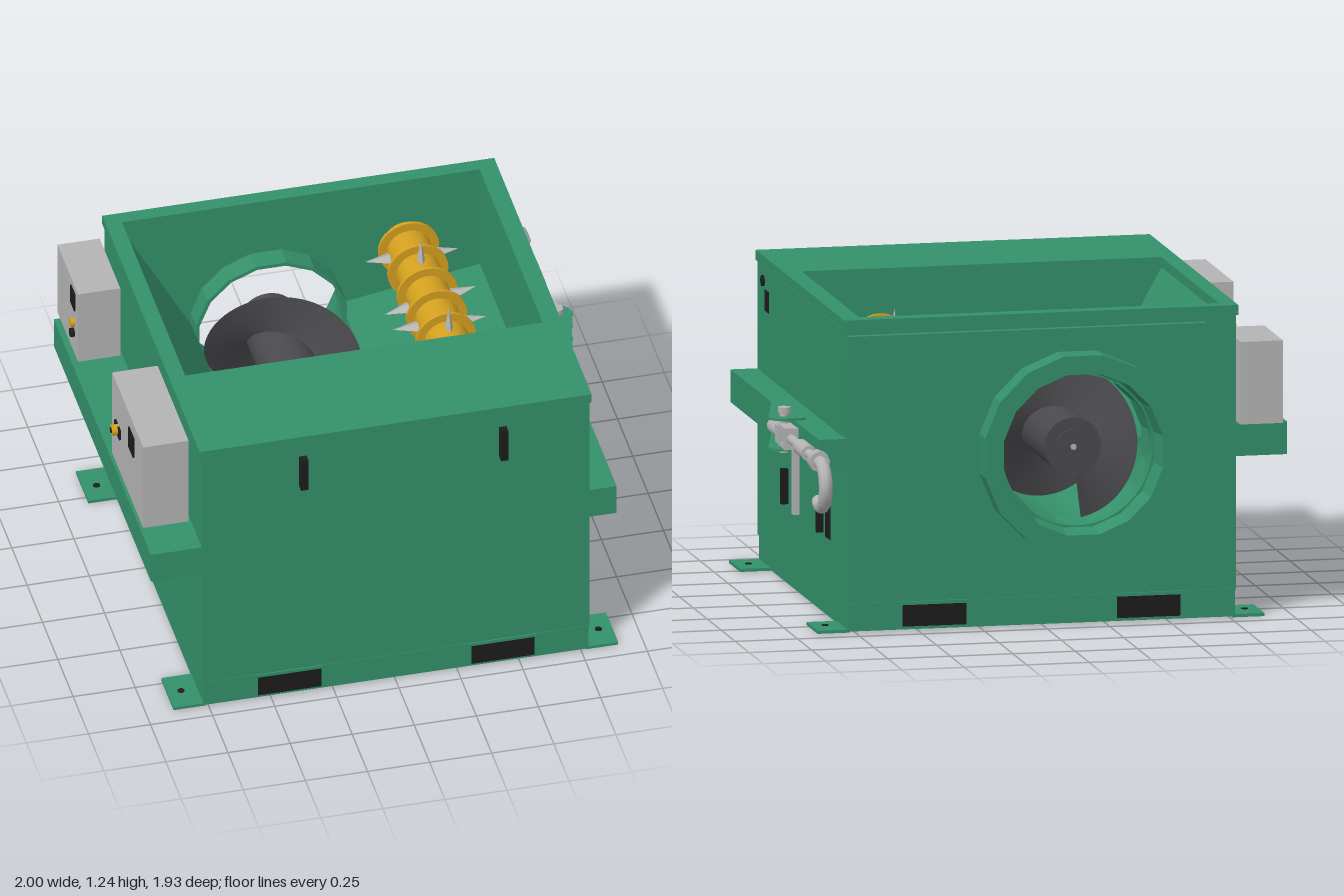
import * as THREE from 'three';

const mat = (name, color, side = THREE.FrontSide) => {
  const m = new THREE.MeshStandardMaterial({ color, side });
  m.name = name;
  return m;
};

export function createModel() {
  const model = new THREE.Group();
  const green = mat('machine green', 0x34906a);
  const grey = mat('light grey steel', 0xb4b4b4);
  const dark = mat('dark auger steel', 0x4a4a4e, THREE.DoubleSide);
  const gold = mat('gold', 0xd4a01e);
  const black = mat('black', 0x1c1c1c);

  const add = (name, geo, m, x = 0, y = 0, z = 0, parent = model) => {
    const mesh = new THREE.Mesh(geo, m);
    mesh.name = name;
    mesh.position.set(x, y, z);
    parent.add(mesh);
    return mesh;
  };
  // box given by its extents on each axis
  const box = (name, m, x0, x1, y0, y1, z0, z1, parent = model) =>
    add(name, new THREE.BoxGeometry(x1 - x0, y1 - y0, z1 - z0), m,
      (x0 + x1) / 2, (y0 + y1) / 2, (z0 + z1) / 2, parent);
  // cylinder along z, y or x
  const rod = (name, m, r, len, axis, x, y, z, sides = 20, parent = model) => {
    const g = new THREE.CylinderGeometry(r, r, len, sides);
    if (axis === 'z') g.rotateX(Math.PI / 2);
    if (axis === 'x') g.rotateZ(Math.PI / 2);
    return add(name, g, m, x, y, z, parent);
  };
  const extrude = (shape, depth) =>
    new THREE.ExtrudeGeometry(shape, { depth, bevelEnabled: false, curveSegments: 28 });

  const AX = -0.14, AY = 0.69; // auger axis

  // Hopper: block with a sloped, round-bottomed trough
  const trough = new THREE.Shape();
  trough.moveTo(-0.775, 0.11);
  trough.lineTo(0.785, 0.11);
  trough.lineTo(0.785, 1.24);
  trough.lineTo(0.72, 1.24);
  trough.lineTo(0.72, 0.78);
  trough.lineTo(AX + 0.3, AY);
  trough.absarc(AX, AY, 0.3, 0, -Math.PI, true);
  trough.lineTo(-0.72, 1.2);
  trough.lineTo(-0.72, 1.24);
  trough.lineTo(-0.775, 1.24);
  add('hopper', extrude(trough, 1.03), green, 0, 0, -0.6);
  box('motorHousing', green, -0.775, 0.785, 0.11, 1.24, 0.43, 0.93);

  // Back wall with the outlet opening
  const wall = new THREE.Shape([[-0.775, 0.11], [0.785, 0.11], [0.785, 1.24], [-0.775, 1.24]]
    .map(p => new THREE.Vector2(...p)));
  wall.holes.push(new THREE.Path().absarc(AX, AY, 0.3, 0, Math.PI * 2, true));
  add('backWall', extrude(wall, 0.06), green, 0, 0, -0.66);

  // Faceted outlet pipe
  const pipe = [[0.295, 0.51], [0.31, 0.51], [0.31, 0.66], [0.4, 0.66], [0.4, 0.77], [0.325, 0.77], [0.295, 0.51]];
  let pipeGeo = new THREE.LatheGeometry(pipe.map(p => new THREE.Vector2(...p)), 16, Math.PI / 16);
  pipeGeo = pipeGeo.toNonIndexed();
  pipeGeo.computeVertexNormals();
  add('outletPipe', pipeGeo, green, AX, AY, 0).rotation.x = -Math.PI / 2;

  // Rims, rear bar, side beams and base
  box('leftRim', green, -0.785, -0.774, 1.2, 1.24, -0.66, 0.93);
  box('rightRim', green, 0.784, 0.793, 1.2, 1.24, -0.66, 0.93);
  box('rearBar', green, -0.65, 0.78, 1.09, 1.18, -0.69, -0.66);
  box('leftBeam', green, -0.98, -0.77, 0.64, 0.77, -0.66, 0.925);
  box('rightBeam', green, 0.78, 0.895, 0.64, 0.77, -0.66, 0.925);
  box('base', green, -0.77, 0.78, 0.005, 0.115, -0.665, 0.932);

  // Corner feet with bolt holes
  for (const s of [-1, 1]) for (const [z0, z1, zh] of [[0.73, 0.93, 0.83], [-0.66, -0.46, -0.55]]) {
    const cx = s * 0.83 + 0.005;
    box('foot', green, cx - 0.065, cx + 0.065, 0, 0.012, z0, z1);
    rod('footBoltHole', black, 0.014, 0.004, 'y', cx + s * 0.01, 0.013, zh, 12);
  }

  // Fork pockets, front and back
  for (const x of [-0.424, 0.434]) for (const [z, s] of [[0.932, 1], [-0.665, -1]]) {
    box('pocketFrame', green, x - 0.137, x + 0.137, 0.008, 0.115, z - 0.004, z + 0.004);
    box('pocketGrille', black, x - 0.127, x + 0.127, 0.017, 0.102, z + s * 0.004 - 0.002, z + s * 0.004 + 0.002);
  }

  // Grab handles
  for (const x of [-0.37, 0.435]) box('frontHandle', black, x - 0.015, x + 0.015, 1.005, 1.147, 0.93, 0.965);

  // Right side panels, handles and vents
  box('upperSidePanel', green, 0.784, 0.789, 0.77, 1.195, -0.58, 0.85);
  box('lowerSidePanel', green, 0.784, 0.789, 0.13, 0.62, -0.4, 0.85);
  for (const z of [0.375, -0.26]) box('sideHandle', black, 0.785, 0.817, 0.33, 0.47, z - 0.013, z + 0.013);
  for (let i = 0; i < 5; i++) {
    const z = -0.312 - i * 0.02, w = 0.775 - i * 0.016;
    box('lowerVentSlot', black, 0.788, 0.791, 0.32, 0.53, z - 0.005, z + 0.005);
    box('upperVentSlot', black, 0.788, 0.791, 1.025, 1.11, w - 0.004, w + 0.004);
  }
  rod('cableGland', black, 0.022, 0.012, 'x', 0.792, 1.14, 0.805);

  // Control cabinets on the left beam
  box('largeCabinet', grey, -0.968, -0.785, 0.772, 1.165, 0.245, 0.75);
  box('largeCabinetDisplay', black, -0.974, -0.967, 1.01, 1.105, 0.525, 0.605);
  box('largeCabinetSwitchPlate', black, -0.976, -0.967, 0.94, 0.985, 0.31, 0.39);
  rod('largeCabinetKnob', gold, 0.022, 0.03, 'x', -0.983, 0.965, 0.35);
  rod('largeCabinetKnobTip', black, 0.012, 0.006, 'x', -0.998, 0.965, 0.35);
  box('smallCabinet', grey, -0.955, -0.785, 0.772, 1.1, -0.7, -0.365);
  box('smallCabinetDisplay', black, -0.961, -0.954, 0.99, 1.07, -0.475, -0.405);
  rod('smallCabinetKnob', gold, 0.018, 0.02, 'x', -0.962, 0.92, -0.43);
  rod('smallCabinetButton', black, 0.018, 0.02, 'x', -0.962, 0.87, -0.43);

  // Auger: shaft, end flange with bolts, helical flight
  const auger = new THREE.Group();
  auger.name = 'auger';
  auger.position.set(AX, AY, 0);
  model.add(auger);
  rod('augerShaft', dark, 0.114, 1.01, 'z', 0, 0, -0.075, 32, auger);
  rod('augerEndCap', dark, 0.07, 0.012, 'z', 0, 0, -0.585, 24, auger);
  rod('augerEndBolt', grey, 0.012, 0.012, 'z', 0, 0, -0.592, 8, auger);
  rod('augerFlange', dark, 0.21, 0.015, 'z', 0, 0, 0.422, 32, auger);
  for (let i = 0; i < 12; i++) {
    const a = i * Math.PI / 6;
    rod('flangeBolt', dark, 0.012, 0.02, 'z', Math.cos(a) * 0.18, Math.sin(a) * 0.18, 0.408, 6, auger);
  }
  const pos = [], idx = [], N = 120, Z0 = 0.335, Z1 = -0.565, PITCH = 0.52;
  for (let i = 0; i <= N; i++) {
    const z = Z0 + (Z1 - Z0) * i / N, a = (Z0 - z) / PITCH * Math.PI * 2;
    for (const r of [0.11, 0.288]) pos.push(Math.cos(a) * r, Math.sin(a) * r, z);
    if (i < N) idx.push(2 * i, 2 * i + 1, 2 * i + 2, 2 * i + 1, 2 * i + 3, 2 * i + 2);
  }
  const flight = new THREE.BufferGeometry();
  flight.setAttribute('position', new THREE.Float32BufferAttribute(pos, 3));
  flight.setIndex(idx);
  flight.computeVertexNormals();
  add('augerFlight', flight, dark, 0, 0, 0, auger);

  // Breaker roller: gold drum with collars and flat pointed teeth
  const breaker = new THREE.Group();
  breaker.name = 'breakerRoller';
  breaker.position.set(0.42, 0.95, 0);
  model.add(breaker);
  rod('rollerDrum', gold, 0.088, 1.03, 'z', 0, 0, -0.085, 28, breaker);
  const toothAngles = [0, Math.PI / 2, 0.2];
  for (let i = 0; i < 7; i++) {
    const z = -0.547 + i * 0.152;
    rod('rollerCollar', gold, 0.122, 0.014, 'z', 0, 0, z, 28, breaker);
    for (const turn of [0, Math.PI]) {
      const g = new THREE.ConeGeometry(0.04, 0.11, 4).toNonIndexed();
      g.computeVertexNormals();
      g.scale(0.45, 1, 1).translate(0, 0.133, 0);
      add('rollerTooth', g, grey, 0, 0, z + 0.05, breaker).rotation.z = toothAngles[i % 3] + turn - Math.PI / 2;
    }
  }

  // Hitch bracket: two tapered plates on the right beam
  const plate = new THREE.Shape();
  plate.moveTo(0.855, -0.18);
  plate.lineTo(0.895, -0.18);
  plate.lineTo(0.99, 0.18);
  plate.absarc(0.93, 0.195, 0.065, 0, Math.PI / 2, false);
  plate.lineTo(0.855, 0.25);
  for (const y of [0.655, 0.775])
    add('hitchPlate', extrude(plate, 0.01), green, 0, y, 0).rotation.x = -Math.PI / 2;

  // Hitch arm with pin, spring, turnbuckle, lever and hook
  const HX = 0.93, HY = 0.715;
  const hr = (name, r, z0, z1, sides) => rod(name, grey, r, z0 - z1, 'z', HX, HY, (z0 + z1) / 2, sides);
  rod('hitchPin', grey, 0.018, 0.17, 'y', HX, 0.725, -0.195);
  rod('hitchPinHead', grey, 0.027, 0.022, 'y', HX, 0.81, -0.195, 6);
  hr('springRod', 0.014, 0, -0.2);
  hr('springEnd', 0.026, 0, -0.014);
  for (let i = 0; i < 10; i++)
    add('springCoil', new THREE.TorusGeometry(0.024, 0.005, 6, 18), grey, HX, HY, -0.02 - i * 0.0155);
  box('clevisBlock', grey, HX - 0.03, HX + 0.03, HY - 0.035, HY + 0.035, -0.235, -0.165);
  for (const s of [-1, 1])
    box('clevisArm', grey, HX - 0.025, HX + 0.025, HY + s * 0.035 - 0.008, HY + s * 0.035 + 0.008, -0.31, -0.2);
  box('clevisEnd', grey, HX - 0.028, HX + 0.028, HY - 0.043, HY + 0.043, -0.325, -0.295);
  hr('hitchRod', 0.019, -0.3, -0.8);
  hr('turnbuckle', 0.031, -0.49, -0.645);
  hr('hookNut', 0.042, -0.78, -0.835, 8);
  box('leverBar', grey, HX - 0.012, HX + 0.012, 0.43, 0.71, -0.415, -0.378);
  const hook = add('hook', new THREE.TorusGeometry(0.087, 0.027, 10, 32, 3.9), grey, HX, 0.628, -0.853);
  hook.rotation.set(0, Math.PI / 2, -2.1);
  const tip = new THREE.Vector3(HX, 0.628 + 0.087 * Math.sin(-2.1), -0.853 - 0.087 * Math.cos(-2.1));
  const cap = add('hookTip', new THREE.SphereGeometry(0.027, 12, 8), grey);
  cap.position.copy(tip);

  return model;
}
